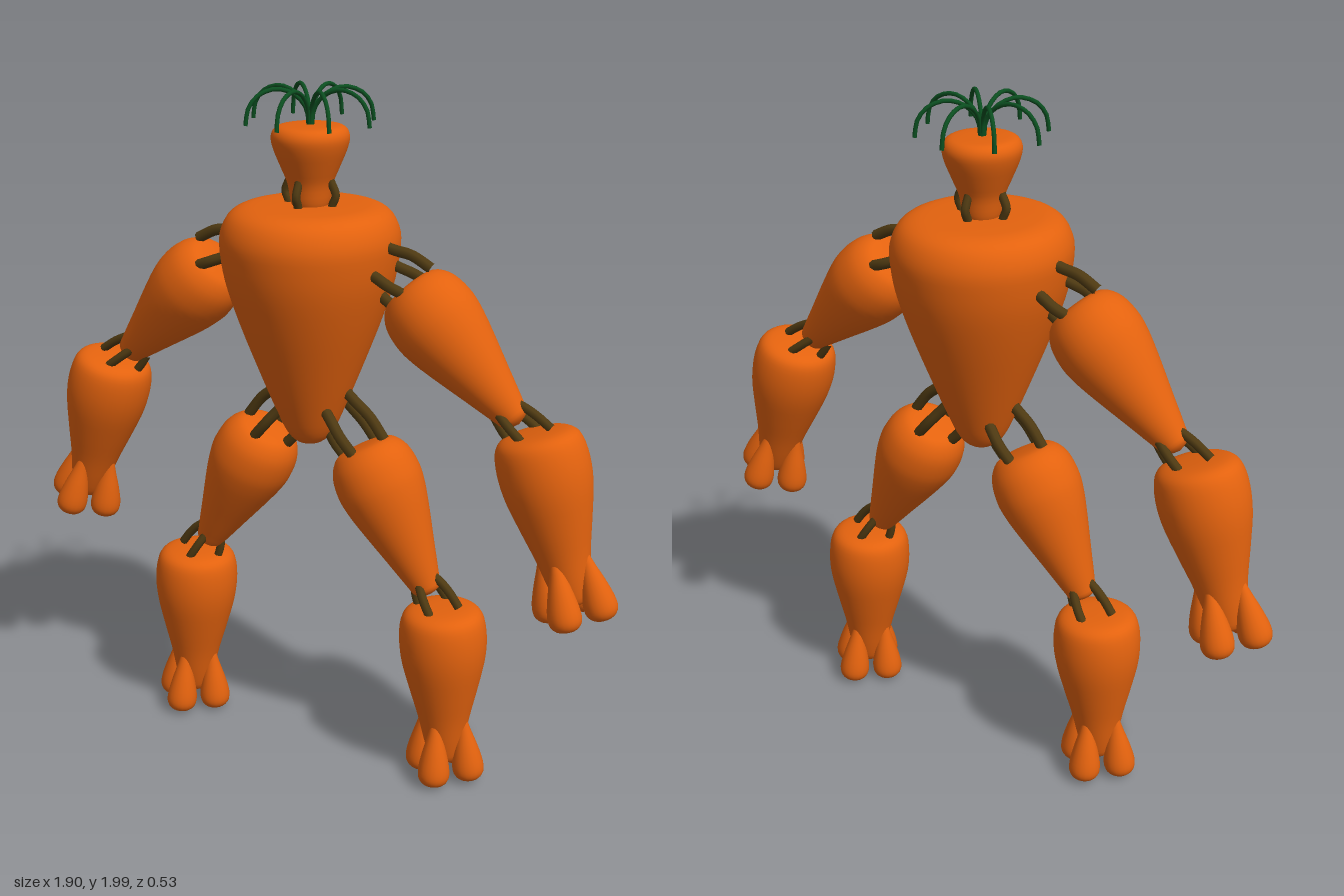
import * as THREE from 'three';

const orange = new THREE.MeshStandardMaterial({ color: 0xe3620e });
orange.name = 'carrot orange';
const brown = new THREE.MeshStandardMaterial({ color: 0x4f3a12 });
brown.name = 'root brown';
const green = new THREE.MeshStandardMaterial({ color: 0x0b4f20 });
green.name = 'leaf green';

const V = (x, y, z = 0) => new THREE.Vector3(x, y, z);
const DOWN = V(0, -1, 0);

// Profiles are [radius, distance below the top], listed from the top down
const UPPER = [[0, 0], [0.055, 0.003], [0.09, 0.015], [0.117, 0.055], [0.126, 0.115], [0.12, 0.17],
  [0.103, 0.24], [0.075, 0.34], [0.05, 0.43], [0.037, 0.465], [0, 0.478]];
const LOWER = [[0, 0], [0.06, 0.002], [0.1, 0.012], [0.12, 0.04], [0.127, 0.1], [0.121, 0.17],
  [0.1, 0.26], [0.077, 0.35], [0.058, 0.44], [0.04, 0.49], [0, 0.5]];
const DIGIT = [[0, 0], [0.009, 0.006], [0.021, 0.055], [0.036, 0.11], [0.046, 0.16],
  [0.044, 0.19], [0.028, 0.208], [0, 0.213]];
const BODY = [[0, 0], [0.12, 0.001], [0.185, 0.006], [0.225, 0.03], [0.247, 0.08], [0.246, 0.14],
  [0.232, 0.22], [0.198, 0.33], [0.15, 0.46], [0.103, 0.58], [0.07, 0.655], [0.04, 0.69], [0, 0.702]];
const HEAD = [[0, 0], [0.06, 0.001], [0.092, 0.007], [0.106, 0.03], [0.1, 0.065],
  [0.08, 0.115], [0.062, 0.16], [0.053, 0.21], [0.04, 0.23], [0, 0.235]];

// Smooth turned root with its top at the origin, pointing down
function carrot(name, profile, segments = 32) {
  const curve = new THREE.SplineCurve(profile.map(([r, d]) => new THREE.Vector2(r, -d)));
  const pts = curve.getPoints(profile.length * 3).reverse();
  pts.forEach((p) => { p.x = Math.max(p.x, 0); });
  const mesh = new THREE.Mesh(new THREE.LatheGeometry(pts, segments), orange);
  mesh.name = name;
  return mesh;
}

function tube(name, points, radius, material) {
  const curve = new THREE.CatmullRomCurve3(points);
  const mesh = new THREE.Mesh(new THREE.TubeGeometry(curve, 14, radius, 8), material);
  mesh.name = name;
  return mesh;
}

// Four bowed roots joining a ring around a to a ring around b
function rootJoint(name, a, b, ringA, ringB, radius = 0.016) {
  const group = new THREE.Group();
  group.name = name;
  const axis = b.clone().sub(a).normalize();
  const side = V(0, 0, 1);
  const up = side.clone().cross(axis).normalize();
  for (let i = 0; i < 4; i++) {
    const t = (i * Math.PI) / 2;
    const out = up.clone().multiplyScalar(Math.cos(t)).addScaledVector(side, Math.sin(t));
    const at = (k, r) => a.clone().lerp(b, k).addScaledVector(out, r);
    const mid = (ringA + ringB) / 2;
    group.add(tube('root', [at(0, ringA), at(0.3, mid * 1.02), at(0.6, mid * 1.18), at(1, ringB)], radius, brown));
  }
  return group;
}

// Place a part at start, aiming from start towards end
function aim(part, start, end) {
  part.position.copy(start);
  part.quaternion.setFromUnitVectors(DOWN, end.clone().sub(start).normalize());
  return part;
}

// Lower limb with four digits splayed around its tip
function lowerLimb(name, digitName) {
  const group = new THREE.Group();
  group.name = name;
  group.add(carrot(name + 'Segment', LOWER));
  for (let i = 0; i < 4; i++) {
    const t = (i * Math.PI) / 2;
    const c = Math.cos(t), s = Math.sin(t);
    group.add(aim(carrot(digitName, DIGIT, 20),
      V(0.058 * c, -0.335, 0.058 * s), V(0.08 * c, -0.545, 0.08 * s)));
  }
  return group;
}

export function createModel() {
  const model = new THREE.Group();
  model.name = 'carrotFigure';
  const cx = 0.015;

  // Torso and head, slightly deeper than wide
  const torso = carrot('torso', BODY, 48);
  torso.position.set(cx, 1.68, 0);
  torso.scale.z = 1.06;
  const head = carrot('head', HEAD, 40);
  head.position.set(cx, 1.897, 0);
  head.scale.z = 1.06;
  model.add(torso, head);
  model.add(rootJoint('neckRoots', V(cx, 1.65), V(cx, 1.75), 0.072, 0.062, 0.012));

  // Arching leaves
  const leaves = new THREE.Group();
  leaves.name = 'leaves';
  leaves.position.x = cx;
  const arch = [[0.004, 1.88], [0.012, 1.94], [0.045, 1.978], [0.095, 1.994], [0.145, 1.978], [0.172, 1.945], [0.18, 1.9]];
  for (let i = 0; i < 8; i++) {
    const t = (i * Math.PI) / 4;
    leaves.add(tube('leaf', arch.map(([r, y]) => V(r * Math.cos(t), y, r * Math.sin(t))), 0.006, green));
  }
  model.add(leaves);

  for (const [side, s] of [['left', 1], ['right', -1]]) {
    const A = (x, y) => V(0.016 + s * x, y);
    const L = (x, y) => V(0.03 + s * x, y);

    // Arm
    model.add(aim(carrot(side + 'UpperArm', UPPER), A(0.3, 1.485), A(0.64, 1.15)));
    model.add(aim(lowerLimb(side + 'Forearm', 'finger'), A(0.688, 1.138), A(0.845, 0.59)));
    model.add(rootJoint(side + 'ShoulderRoots', A(0.19, 1.535), A(0.345, 1.475), 0.06, 0.072));
    model.add(rootJoint(side + 'ElbowRoots', A(0.59, 1.185), A(0.695, 1.105), 0.036, 0.06, 0.013));

    // Leg
    model.add(aim(carrot(side + 'Thigh', UPPER), L(0.155, 1.005), L(0.385, 0.57)));
    model.add(aim(lowerLimb(side + 'Shin', 'toe'), L(0.42, 0.555), L(0.445, 0.01)));
    model.add(rootJoint(side + 'HipRoots', L(0.05, 1.125), L(0.17, 0.985), 0.055, 0.07));
    model.add(rootJoint(side + 'KneeRoots', L(0.36, 0.625), L(0.418, 0.53), 0.036, 0.062, 0.013));
  }
  return model;
}
